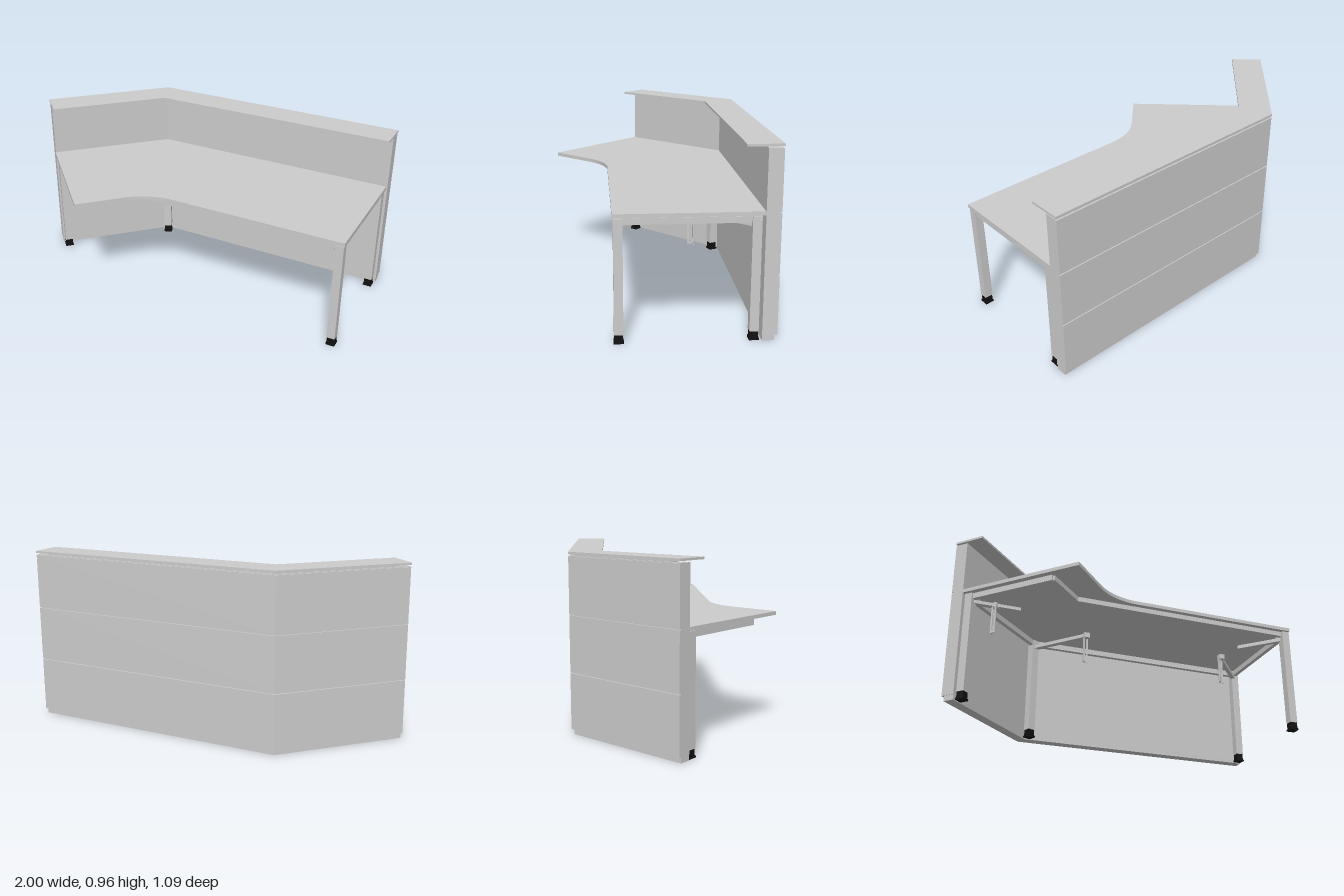
import * as THREE from 'three';

const grey = new THREE.MeshStandardMaterial({ color: 0xcccccc });
const black = new THREE.MeshStandardMaterial({ color: 0x111111 });
const S = Math.SQRT1_2;
const CORNER = [-0.47, -0.545]; // outer corner of the counter
const WING = 0.75;              // outer length of the angled wing

export function createModel() {
  const root = new THREE.Group();
  root.name = 'receptionDesk';

  const add = (name, geometry, material = grey, parent = root) => {
    const mesh = new THREE.Mesh(geometry, material);
    mesh.name = name;
    parent.add(mesh);
    return mesh;
  };

  // Upright extrusion of a plan shape drawn with (x, -z)
  const slab = (name, shape, y0, y1) => {
    const g = new THREE.ExtrudeGeometry(shape, { depth: y1 - y0, bevelEnabled: false, curveSegments: 20 });
    g.rotateX(-Math.PI / 2);
    g.translate(0, y0, 0);
    return add(name, g);
  };

  // Plan points at distance d inside the outer line; trim shortens the free ends
  const cornerAt = d => [CORNER[0] + d * Math.tan(Math.PI / 8), CORNER[1] + d];
  const wingAt = (d, trim) => [
    CORNER[0] - (WING - trim) * S + d * S,
    CORNER[1] + (WING - trim) * S + d * S,
  ];
  const flat = ([x, z]) => new THREE.Vector2(x, -z);

  // Two mitred pieces (wing and main run) following the bent outer line
  const bentStrip = (name, d0, d1, y0, y1, trim = 0) => {
    const a = cornerAt(d0), b = cornerAt(d1);
    const end = 1 - trim;
    slab(name + 'Wing', new THREE.Shape([wingAt(d0, trim), a, b, wingAt(d1, trim)].map(flat)), y0, y1);
    slab(name + 'Main', new THREE.Shape([a, [end, a[1]], [end, b[1]], b].map(flat)), y0, y1);
  };

  // Counter wall: recessed plinth, core, three rows of cladding, shelf
  bentStrip('plinth', 0.015, 0.075, 0, 0.03, 0.006);
  bentStrip('wallCore', 0.01, 0.075, 0.03, 0.945, 0.003);
  [[0.03, 0.332], [0.338, 0.637], [0.643, 0.942]].forEach(([y0, y1], i) =>
    bentStrip('claddingRow' + (i + 1), 0.001, 0.01, y0, y1, 0.003));
  bentStrip('shelfSpacer', 0.02, 0.06, 0.945, 0.953, 0.06);
  bentStrip('shelf', 0, 0.175, 0.953, 0.965);

  // Worktop with a rounded inner bend
  const top = new THREE.Shape();
  top.moveTo(...flat(cornerAt(0.075)).toArray());
  top.lineTo(0.99, 0.47);
  top.lineTo(0.99, -0.245);
  top.lineTo(0, -0.245);
  top.absarc(0, -0.595, 0.35, Math.PI / 2, Math.PI * 0.75, false);
  top.lineTo(-0.44, -0.545);
  top.lineTo(...flat(wingAt(0.075, 0)).toArray());
  top.closePath();
  slab('worktop', top, 0.625, 0.645);

  // Square legs with dark adjustable feet
  const legs = {
    frontLeg: [0.963, 0.218, 0],
    backLeg: [0.963, -0.433, 0],
    cornerLeg: [-0.42, -0.43, Math.PI / 8],
    wingLeg: [-0.9, 0.037, Math.PI / 4],
  };
  for (const [name, [x, z, turn]] of Object.entries(legs)) {
    const leg = new THREE.Group();
    leg.name = name;
    leg.position.set(x, 0, z);
    leg.rotation.y = turn;
    root.add(leg);
    add('post', new THREE.BoxGeometry(0.045, 0.575, 0.045), grey, leg).position.y = 0.3325;
    add('foot', new THREE.BoxGeometry(0.041, 0.04, 0.041), black, leg).position.y = 0.028;
    add('footPlate', new THREE.BoxGeometry(0.049, 0.01, 0.049), black, leg).position.y = 0.005;
  }

  // Horizontal bar between two plan points
  const bar = (name, [x0, z0], [x1, z1], y0, y1, width) => {
    const length = Math.hypot(x1 - x0, z1 - z0);
    const mesh = add(name, new THREE.BoxGeometry(length, y1 - y0, width));
    mesh.position.set((x0 + x1) / 2, (y0 + y1) / 2, (z0 + z1) / 2);
    mesh.rotation.y = -Math.atan2(z1 - z0, x1 - x0);
  };

  // Frame rails under the worktop
  const bendFront = [-0.345, 0.215], wingFront = [-0.535, 0.4];
  bar('endRail', legs.frontLeg, legs.backLeg, 0.588, 0.62, 0.025);
  bar('backRail', legs.backLeg, legs.cornerLeg, 0.588, 0.62, 0.025);
  bar('wingBackRail', legs.cornerLeg, legs.wingLeg, 0.588, 0.62, 0.025);
  bar('wingEndRail', legs.wingLeg, wingFront, 0.588, 0.62, 0.025);
  bar('frontRail', legs.frontLeg, bendFront, 0.592, 0.62, 0.02);
  bar('wingFrontRail', bendFront, wingFront, 0.592, 0.62, 0.02);

  // Diagonal corner arms reaching in from each leg
  bar('frontArm', legs.frontLeg, [0.76, 0.015], 0.567, 0.588, 0.025);
  bar('backArm', legs.backLeg, [0.72, -0.155], 0.567, 0.588, 0.025);
  bar('cornerArm', legs.cornerLeg, [-0.165, -0.15], 0.567, 0.588, 0.03);
  bar('wingArm', legs.wingLeg, [-0.62, 0.037], 0.567, 0.585, 0.03);

  // Slotted hanging brackets
  const strip = new THREE.Shape([[-0.015, 0], [0.015, 0], [0.015, 0.18], [-0.015, 0.18]].map(p => new THREE.Vector2(...p)));
  strip.holes.push(new THREE.Path([[-0.005, 0.012], [-0.005, 0.155], [0.005, 0.155], [0.005, 0.012]].map(p => new THREE.Vector2(...p))));
  const bracket = new THREE.ExtrudeGeometry(strip, { depth: 0.004, bevelEnabled: false });
  for (const [x, z, turn] of [[0.725, -0.15, 0], [-0.17, -0.15, 0], [-0.76, 0.037, Math.PI / 4]]) {
    const group = new THREE.Group();
    group.name = 'hangingBracket';
    group.position.set(x, 0.407, z);
    group.rotation.y = turn;
    root.add(group);
    add('bracketFace', bracket, grey, group).position.z = -0.015;
    const side = add('bracketSide', bracket, grey, group);
    side.rotation.y = Math.PI / 2;
    side.position.x = -0.015;
    add('bracketCap', new THREE.BoxGeometry(0.034, 0.03, 0.034), grey, group).position.y = 0.17;
  }

  return root;
}
